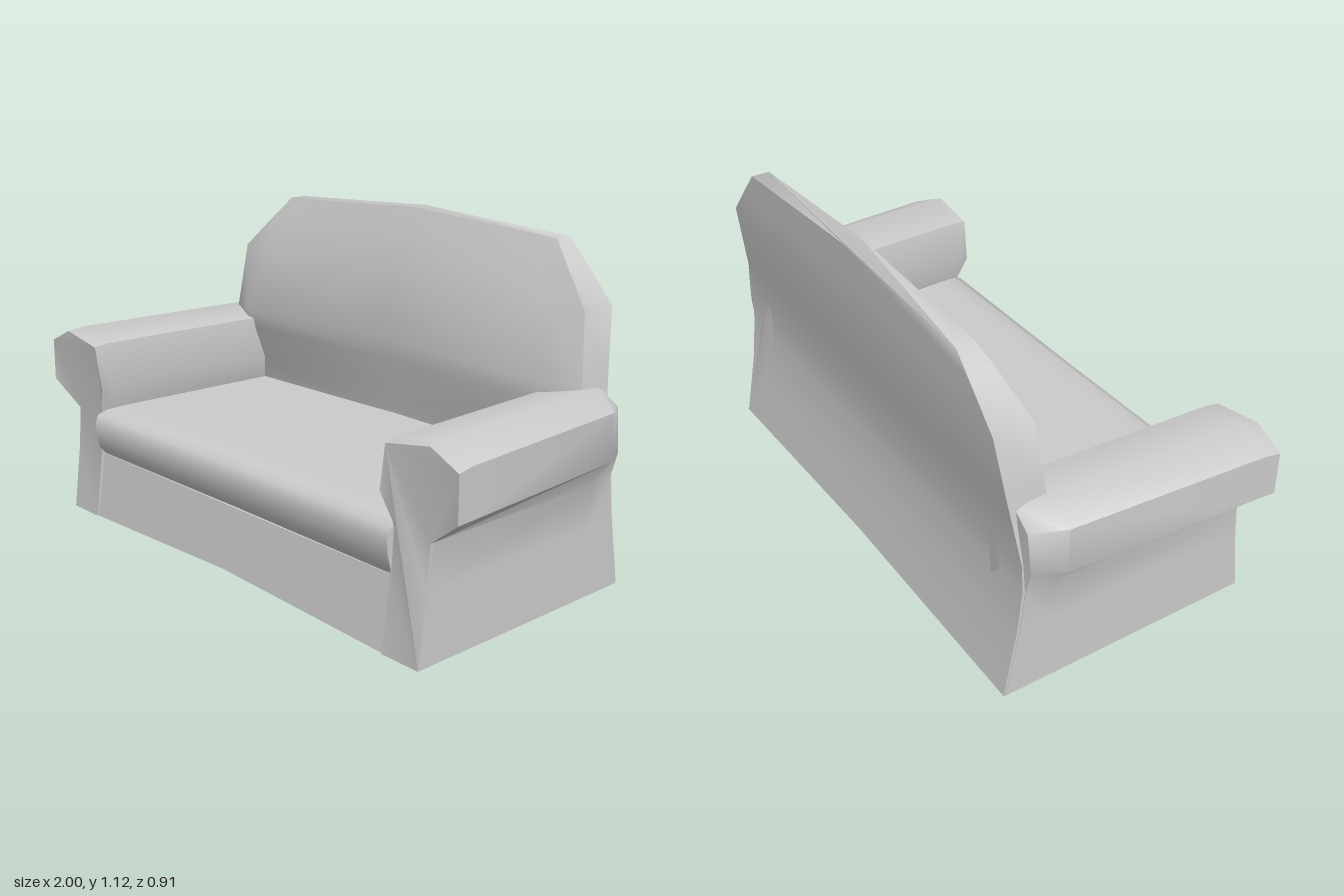
import * as THREE from 'three';
import { toCreasedNormals } from 'three/addons/utils/BufferGeometryUtils.js';

const material = new THREE.MeshStandardMaterial({ color: 0xcccccc });

// Closed solid through rings of [x, y, z]; u and v are the axes the end caps are flattened to.
function loft(name, rings, u, v, crease = 0.8) {
  const n = rings[0].length;
  const tris = [];
  for (let r = 0; r < rings.length - 1; r++) {
    for (let i = 0; i < n; i++) {
      const j = (i + 1) % n;
      const [a, b, c, d] = [rings[r][i], rings[r][j], rings[r + 1][j], rings[r + 1][i]];
      tris.push([a, b, c], [a, c, d]);
    }
  }
  const cap = (ring, reversed) => {
    const flat = ring.map((p) => new THREE.Vector2(p[u], p[v]));
    const turn = Math.sign(THREE.ShapeUtils.area(flat));
    for (const [a, b, c] of THREE.ShapeUtils.triangulateShape(flat, [])) {
      const same = Math.sign(THREE.ShapeUtils.area([flat[a], flat[b], flat[c]])) === turn;
      tris.push(same !== reversed ? [ring[a], ring[b], ring[c]] : [ring[a], ring[c], ring[b]]);
    }
  };
  cap(rings[0], true);
  cap(rings[rings.length - 1], false);

  // Turn the faces outward when the enclosed volume is negative.
  let volume = 0;
  for (const t of tris) {
    const [a, b, c] = t.map((p) => new THREE.Vector3(...p));
    volume += a.dot(b.cross(c));
  }
  if (volume < 0) tris.forEach((t) => t.reverse());

  const geometry = new THREE.BufferGeometry();
  geometry.setAttribute('position', new THREE.Float32BufferAttribute(tris.flat(2), 3));
  const mesh = new THREE.Mesh(toCreasedNormals(geometry, crease), material);
  mesh.name = name;
  return mesh;
}

// Backrest: levels from the floor to the arched top.
function backrest() {
  // y, centre lift, half width, edge z, bulge x, bulge z, centre z, back z
  const levels = [
    [0, 0.025, 0.878, -0.34, 0.7, -0.34, -0.34, -0.452],
    [0.23, 0, 0.878, -0.33, 0.7, -0.33, -0.33, -0.41],
    [0.38, 0, 0.878, -0.32, 0.7, -0.31, -0.32, -0.393],
    [0.47, 0, 0.87, -0.31, 0.71, -0.285, -0.31, -0.392],
    [0.6, 0, 0.84, -0.295, 0.72, -0.25, -0.293, -0.405],
    [0.665, 0, 0.83, -0.287, 0.72, -0.24, -0.287, -0.415],
    [0.895, 0.01, 0.805, -0.315, 0.68, -0.303, -0.308, -0.45],
    [1.02, 0.025, 0.69, -0.362, 0.58, -0.36, -0.36, -0.452],
    [1.085, 0.033, 0.63, -0.39, 0.52, -0.39, -0.39, -0.453],
  ];
  const rings = levels.map(([y, lift, w, ze, xb, zb, zc, back]) => [
    [w, y, ze], [xb, y + lift * 0.17, zb], [0, y + lift, zc],
    [-xb, y + lift * 0.17, zb], [-w, y, ze],
    [-w, y, back], [0, y + lift, back], [w, y, back],
  ]);
  return loft('backrest', rings, 0, 2);
}

// Arm with its side panel: the scroll narrows and leans inward toward the back.
function arm(side) {
  const ys = [0, 0.23, 0.37, 0.46, 0.61, 0.66, 0.63, 0.48, 0.39, 0.23, 0];
  const front = [0.88, 0.88, 0.88, 1, 1, 0.895, 0.725, 0.7, 0.735, 0.735, 0.735];
  const rear = [0.88, 0.88, 0.88, 0.95, 0.95, 0.85, 0.69, 0.67, 0.7, 0.735, 0.735];
  const end = [0.88, 0.88, 0.88, 0.905, 0.89, 0.82, 0.69, 0.67, 0.7, 0.735, 0.735];
  const frontZ = [0.455, 0.425, 0.415, 0.44, 0.44, 0.44, 0.44, 0.435, 0.415, 0.425, 0.455];
  const endZ = [-0.445, -0.4, -0.385, -0.385, -0.39, -0.39, -0.39, -0.385, -0.385, -0.4, -0.445];
  const ring = (xs, z, dy) => ys.map((y, i) => [side * xs[i], y > 0.5 ? y + dy : y, z(i)]);
  const rings = [
    ring(front, (i) => frontZ[i], -0.004),
    ring(front.map((x, i) => x + (rear[i] - x) * 0.07), () => 0.39, 0.004),
    ring(rear, () => -0.29, 0.004),
    ring(end, (i) => endZ[i], -0.01),
  ];
  return loft(side > 0 ? 'leftArm' : 'rightArm', rings, 0, 1, 0.9);
}

// Seat cushion with a rounded front lip.
function seat() {
  const profile = [[0.22, -0.34], [0.225, 0.405], [0.255, 0.428], [0.3, 0.44],
    [0.345, 0.443], [0.375, 0.43], [0.39, 0.395], [0.393, 0.33], [0.393, -0.34]];
  const rings = [-0.74, 0, 0.74].map((x) =>
    profile.map(([y, z]) => [x, x === 0 && y > 0.38 ? y + 0.005 : y, x === 0 ? z - 0.005 : z]));
  return loft('seatCushion', rings, 1, 2);
}

// Base between the side panels, arched along the floor.
function base() {
  const rings = [-0.74, 0, 0.74].map((x) => {
    const y = x === 0 ? 0.025 : 0;
    return [[x, y, -0.4], [x, y, 0.45], [x, 0.23, 0.412], [x, 0.23, -0.36]];
  });
  return loft('baseSkirt', rings, 1, 2);
}

export function createModel() {
  const sofa = new THREE.Group();
  sofa.name = 'sofa';
  sofa.add(base(), seat(), backrest(), arm(1), arm(-1));
  return sofa;
}
